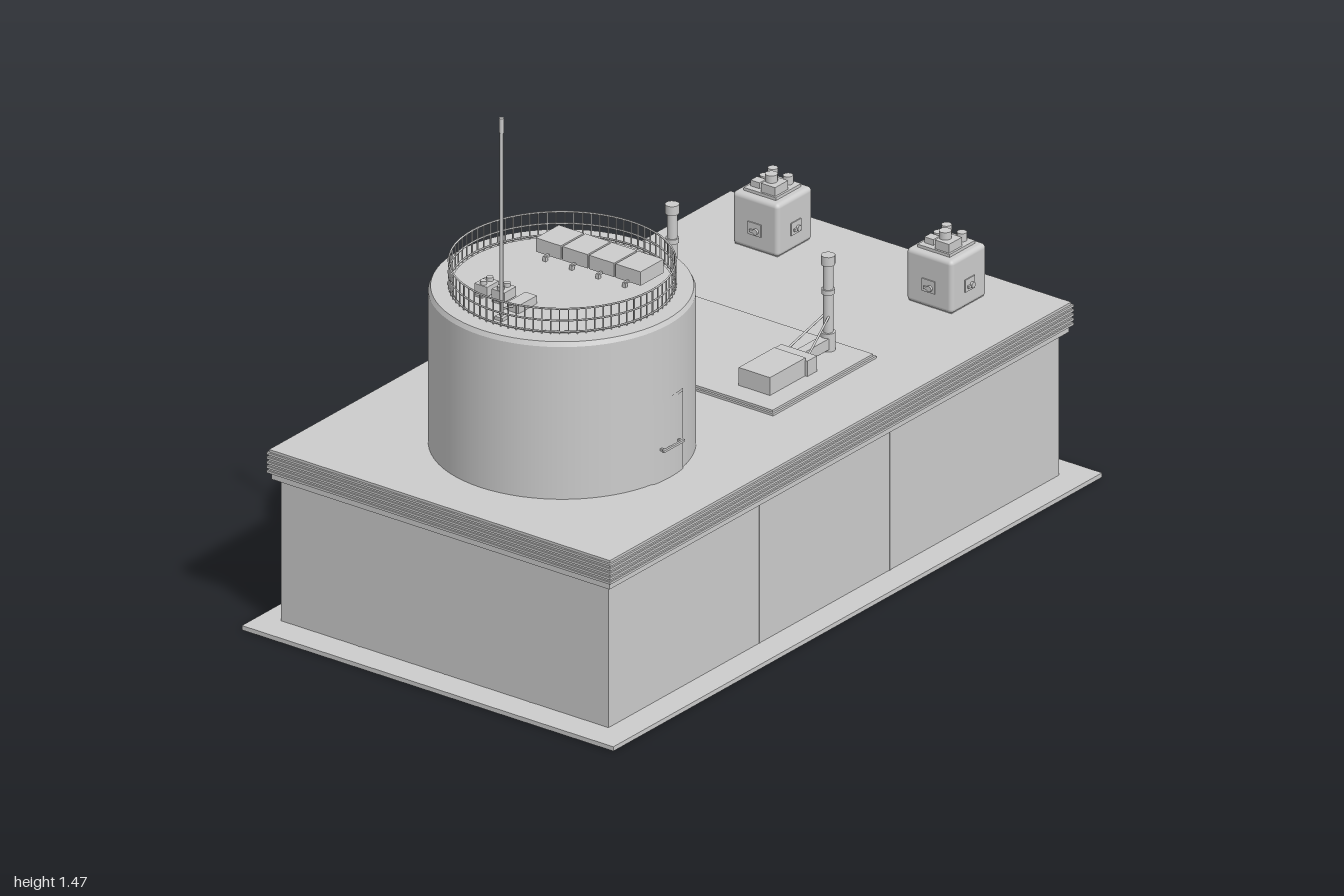
import * as THREE from 'three';
import { RoundedBoxGeometry } from 'three/addons/geometries/RoundedBoxGeometry.js';
import { mergeGeometries } from 'three/addons/utils/BufferGeometryUtils.js';

const grey = new THREE.MeshStandardMaterial({ color: 0xcccccc });
const greyDouble = new THREE.MeshStandardMaterial({ color: 0xcccccc, side: THREE.DoubleSide });

function add(parent, name, geo, x = 0, y = 0, z = 0, mat = grey) {
  const m = new THREE.Mesh(geo, mat);
  m.name = name;
  m.position.set(x, y, z);
  parent.add(m);
  return m;
}

// Box given by its limits on each axis
function box(parent, name, x0, x1, y0, y1, z0, z1) {
  return add(parent, name, new THREE.BoxGeometry(x1 - x0, y1 - y0, z1 - z0),
    (x0 + x1) / 2, (y0 + y1) / 2, (z0 + z1) / 2);
}

// Upright cylinder standing at y0
function post(parent, name, r, y0, y1, x, z, sides = 16) {
  return add(parent, name, new THREE.CylinderGeometry(r, r, y1 - y0, sides), x, (y0 + y1) / 2, z);
}

// Straight rod between two points
function rod(parent, name, a, b, r) {
  const curve = new THREE.LineCurve3(new THREE.Vector3(...a), new THREE.Vector3(...b));
  return add(parent, name, new THREE.TubeGeometry(curve, 1, r, 6));
}

function group(parent, name, x = 0, y = 0, z = 0) {
  const g = new THREE.Group();
  g.name = name;
  g.position.set(x, y, z);
  parent.add(g);
  return g;
}

const ROOF = 0.485, CX = 0.003, CZ = -0.008;

function buildHall(root) {
  const hall = group(root, 'hall', CX, 0, CZ);
  const hx = 0.922, hz = 0.511;
  box(hall, 'walls', -hx, hx, 0.012, 0.41, -hz, hz);

  // Narrow joints between the wall panels
  const seam = 0.0025, out = 0.0015;
  for (const s of [-1, 1]) {
    for (const x of s > 0 ? [-0.303, 0.23] : [-0.303, -0.03, 0.23])
      box(hall, 'wallJoint', x - seam, x + seam, 0.012, 0.405, s * hz - out, s * hz + out);
    for (const z of [-0.267, 0, 0.267])
      box(hall, 'wallJoint', s * hx - out, s * hx + out, 0.012, 0.405, z - seam, z + seam);
  }

  // Ribbed cornice: stacked courses, alternately proud and recessed
  box(hall, 'corniceFoot', -0.94, 0.94, 0.403, 0.422, -0.528, 0.528);
  const courses = 9, h = (0.478 - 0.422) / courses;
  for (let i = 0; i < courses; i++) {
    const inset = i % 2 ? 0.004 : 0;
    box(hall, 'corniceCourse', -0.949 + inset, 0.949 - inset, 0.422 + i * h, 0.422 + (i + 1) * h,
      -0.537 + inset, 0.537 - inset);
  }
  box(hall, 'roofSlab', -0.944, 0.944, 0.478, ROOF, -0.532, 0.532);
}

function buildDrum(root) {
  const drum = group(root, 'drum', -0.465, 0, 0.012);
  const R = 0.333, top = 0.915;
  add(drum, 'drumWall', new THREE.CylinderGeometry(R, R, 0.418, 72, 1, true), 0, ROOF + 0.209, 0);
  add(drum, 'drumBevel', new THREE.CylinderGeometry(R - 0.006, R, 0.012, 72, 1, true), 0, top - 0.006, 0);
  add(drum, 'drumRoof', new THREE.CircleGeometry(R - 0.006, 72), 0, top, 0).rotation.x = -Math.PI / 2;
  post(drum, 'roofDisc', 0.276, top, top + 0.003, 0, 0, 72);

  // Curved doors on the front and back
  for (const turn of [0, Math.PI]) {
    const door = group(drum, 'door');
    door.rotation.y = turn;
    const patch = (name, r, half, y0, y1) => add(door, name,
      new THREE.CylinderGeometry(r, r, y1 - y0, 8, 1, true, -half, half * 2), 0, (y0 + y1) / 2, 0, greyDouble);
    patch('doorFrame', R + 0.002, 0.192, ROOF, 0.705);
    patch('doorLeaf', R + 0.004, 0.178, ROOF, 0.7);
    box(door, 'doorBar', -0.043, 0.043, 0.571, 0.577, R + 0.012, R + 0.018);
    for (const x of [-0.035, 0.035])
      box(door, 'barBracket', x - 0.003, x + 0.003, 0.571, 0.577, R - 0.002, R + 0.014);
  }

  // Railing: closely spaced posts and three hoops
  const railing = group(drum, 'railing'), parts = [];
  const count = 80, rr = 0.282;
  for (let i = 0; i < count; i++) {
    const a = (i / count) * Math.PI * 2;
    const g = new THREE.BoxGeometry(0.003, 0.07, 0.003);
    g.translate(0, top + 0.035, rr);
    g.rotateY(a);
    parts.push(g);
  }
  add(railing, 'railingPosts', mergeGeometries(parts));
  for (const y of [0.006, 0.037, 0.069]) {
    const hoop = add(railing, 'railingHoop', new THREE.TorusGeometry(rr, 0.0025, 6, 80), 0, top + y, 0);
    hoop.rotation.x = Math.PI / 2;
  }

  // Row of four ventilation units on a frame
  const vents = group(drum, 'ventilationBank', 0.143, top, 0.008);
  for (let i = 0; i < 4; i++) {
    const z = (i - 1.5) * 0.083;
    box(vents, 'ventUnit', -0.047, 0.047, 0.012, 0.05, z - 0.039, z + 0.039);
    for (const x of [-0.06, 0.06]) box(vents, 'foot', x - 0.005, x + 0.005, 0, 0.014, z - 0.005, z + 0.005);
    box(vents, 'crossBeam', -0.065, 0.065, 0.01, 0.017, z - 0.003, z + 0.003);
  }
  box(vents, 'spine', -0.043, 0.043, 0.014, 0.045, -0.163, 0.163);

  // Pair of small pumps and a control cabinet
  for (const z of [-0.12, -0.066]) {
    const pump = group(drum, 'pump', -0.152, top, z);
    box(pump, 'pumpBody', -0.024, 0.024, 0.006, 0.032, -0.02, 0.02);
    box(pump, 'pumpBase', -0.034, 0.034, 0, 0.008, -0.012, 0.012);
    for (const x of [-0.013, 0.013]) post(pump, 'pumpCap', 0.009, 0.03, 0.042, x, 0, 10);
  }
  box(drum, 'cabinet', -0.202, -0.127, top, top + 0.025, -0.018, 0.018);

  // Antenna mast
  const mx = -0.251, mz = 0.002;
  box(drum, 'mastBase', mx - 0.012, mx + 0.012, top, top + 0.012, mz - 0.012, mz + 0.012);
  post(drum, 'mast', 0.0045, top, 1.44, mx, mz, 8);
  post(drum, 'mastTip', 0.0065, 1.43, 1.47, mx, mz, 8);
  rod(drum, 'mastCable', [mx, top + 0.03, mz], [-0.195, top + 0.018, 0], 0.003);
}

// Exhaust unit: machine, collar, duct and chimney with stays
function buildExhaust(root, z) {
  const g = group(root, 'exhaustUnit', 0, 0.496, z);
  box(g, 'machine', 0.042, 0.188, 0, 0.05, -0.049, 0.049);
  box(g, 'collar', 0.186, 0.226, 0, 0.043, -0.056, 0.056);
  box(g, 'duct', 0.224, 0.345, 0.008, 0.038, -0.013, 0.013);
  post(g, 'chimney', 0.013, 0, 0.255, 0.344, 0);
  post(g, 'chimneyFoot', 0.019, 0, 0.05, 0.344, 0);
  post(g, 'chimneyBand', 0.017, 0.155, 0.168, 0.344, 0);
  post(g, 'chimneyHead', 0.018, 0.235, 0.26, 0.344, 0);
  for (const s of [-1, 1]) rod(g, 'stay', [0.222, 0.04, s * 0.032], [0.336, 0.095, s * 0.008], 0.003);
}

// Rooftop service block with hatches, side knobs and top fittings
function buildServiceBlock(root, z) {
  const g = group(root, 'serviceBlock', 0.778, ROOF, z);
  const r = 0.072, h = 0.145;
  add(g, 'blockBody', new RoundedBoxGeometry(r * 2, h, r * 2, 3, 0.012), 0, h / 2, 0);
  box(g, 'blockFoot', -0.066, 0.066, 0, 0.02, -0.066, 0.066);
  for (let i = 0; i < 4; i++) {
    const side = group(g, 'blockSide');
    side.rotation.y = i * Math.PI / 2;
    box(side, 'hatch', -0.02, 0.02, 0.043, 0.077, r - 0.003, r + 0.003);
    box(side, 'hatchHandle', -0.012, 0.008, 0.052, 0.059, r, r + 0.008);
    const knob = add(side, 'knob', new THREE.CylinderGeometry(0.008, 0.008, 0.01, 10), 0.006, 0.056, r + 0.004);
    knob.rotation.x = Math.PI / 2;
  }
  box(g, 'topPlate', -0.052, 0.052, h - 0.002, h + 0.008, -0.05, 0.05);
  box(g, 'topBox', -0.047, 0.006, h, h + 0.032, 0.0, 0.044);
  post(g, 'topVent', 0.016, h, h + 0.052, -0.02, 0.012);
  box(g, 'topBox', -0.035, -0.008, h, h + 0.024, -0.042, -0.014);
  for (const [x, zz, y] of [[0.03, -0.022, 0.04], [0.035, 0.022, 0.03], [0.008, -0.03, 0.026]])
    post(g, 'topCap', 0.013, h, h + y, x, zz, 12);
  rod(g, 'topPipe', [-0.02, h + 0.025, 0.012], [0.03, h + 0.025, -0.022], 0.007);
}

export function createModel() {
  const root = new THREE.Group();
  root.name = 'roofStation';
  box(root, 'groundSlab', -1, 1, 0, 0.012, -0.58, 0.58);
  buildHall(root);
  buildDrum(root);

  // Low plinth carrying the two exhaust units
  box(root, 'plinth', -0.028, 0.395, ROOF, 0.491, -0.38, 0.337);
  box(root, 'plinthTop', -0.022, 0.389, 0.49, 0.497, -0.374, 0.331);
  for (const z of [-0.262, 0.225]) buildExhaust(root, z);
  for (const z of [-0.28, 0.263]) buildServiceBlock(root, z);
  return root;
}
